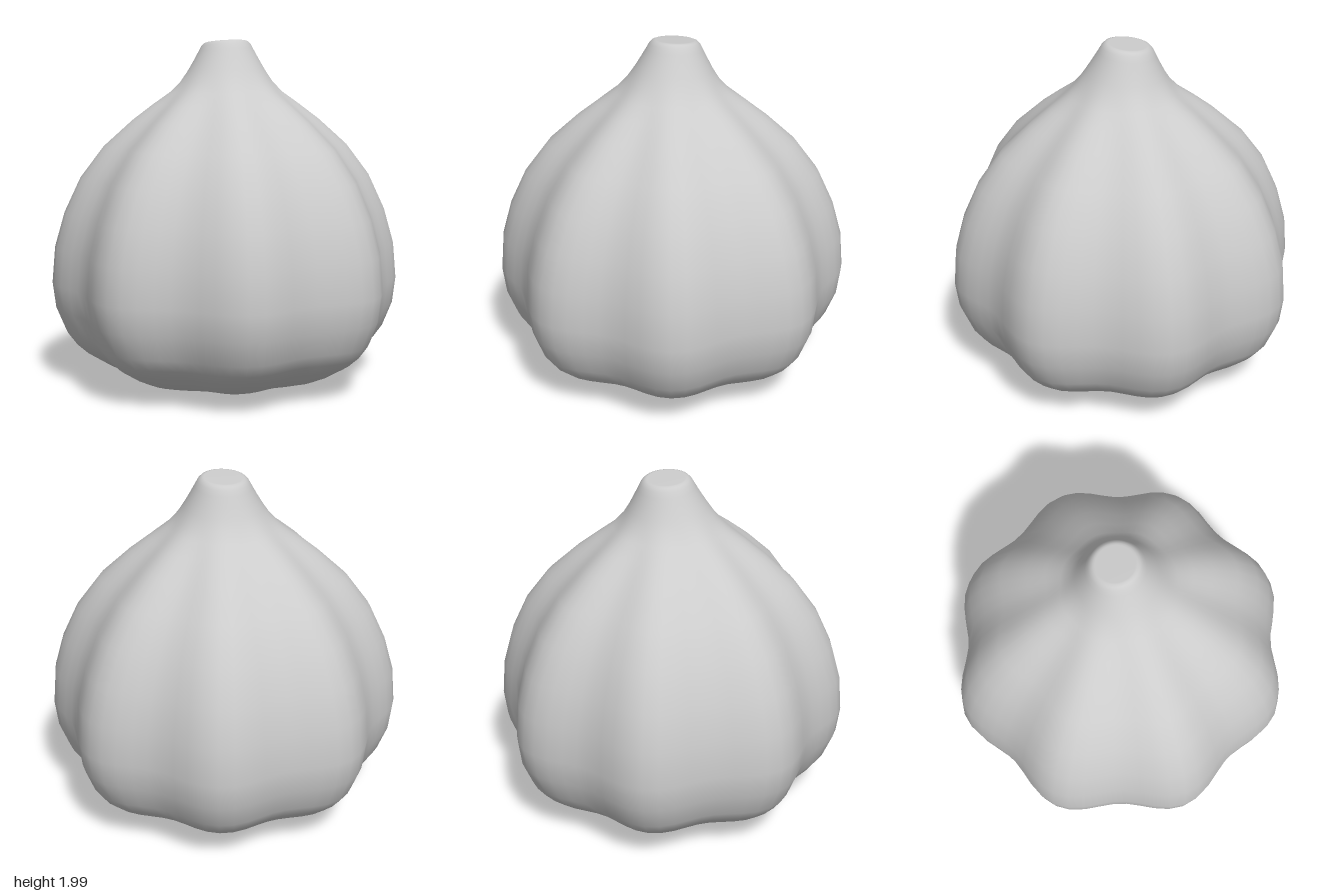
import * as THREE from 'three';
import { mergeVertices } from 'three/addons/utils/BufferGeometryUtils.js';

const LOBES = 8;
const TWIST = THREE.MathUtils.degToRad(2); // angle of the first groove

// mean radius and height, from the underside up to the cut stem
const PROFILE = [
  [0, 0.015], [0.18, 0.012], [0.34, 0.006], [0.4, 0.014], [0.49, 0.04], [0.59, 0.072], [0.68, 0.115],
  [0.79, 0.185], [0.85, 0.24], [0.9, 0.31], [0.955, 0.45], [0.973, 0.6], [0.955, 0.81],
  [0.9, 1.01], [0.81, 1.21], [0.68, 1.39], [0.52, 1.54], [0.41, 1.63], [0.32, 1.7],
  [0.265, 1.76], [0.225, 1.82], [0.19, 1.88], [0.16, 1.935], [0.144, 1.965],
  [0.128, 1.982], [0.115, 1.987], [0.105, 1.988], [0, 1.988],
];

function bulbGeometry() {
  const lathe = new THREE.LatheGeometry(PROFILE.map(([r, y]) => new THREE.Vector2(r, y)), 72);
  lathe.deleteAttribute('normal');
  lathe.deleteAttribute('uv');
  const geometry = mergeVertices(lathe, 1e-5);
  const pos = geometry.attributes.position;
  const { smoothstep } = THREE.MathUtils;

  for (let i = 0; i < pos.count; i++) {
    const x = pos.getX(i), y = pos.getY(i), z = pos.getZ(i);
    const r = Math.hypot(x, z);
    // lobes fade out towards the stem and the middle of the underside
    const fade = (1 - smoothstep(y, 1.55, 1.85)) * smoothstep(r, 0.1, 0.45);
    const wave = -Math.cos(LOBES * (Math.atan2(z, x) - TWIST));
    const k = 1 + 0.048 * fade * wave;
    // the stem leans slightly back and its cut end slopes
    const stem = smoothstep(y, 1.65, 2);
    pos.setXYZ(i, x * k + 0.01 * stem, y + 0.1 * z * stem, z * k - 0.022 * stem);
  }
  geometry.computeVertexNormals();
  return geometry;
}

export function createModel() {
  const model = new THREE.Group();
  const bulb = new THREE.Mesh(bulbGeometry(), new THREE.MeshStandardMaterial({ color: 0xcccccc }));
  bulb.name = 'lobedBulbWithStem';
  model.add(bulb);
  return model;
}
